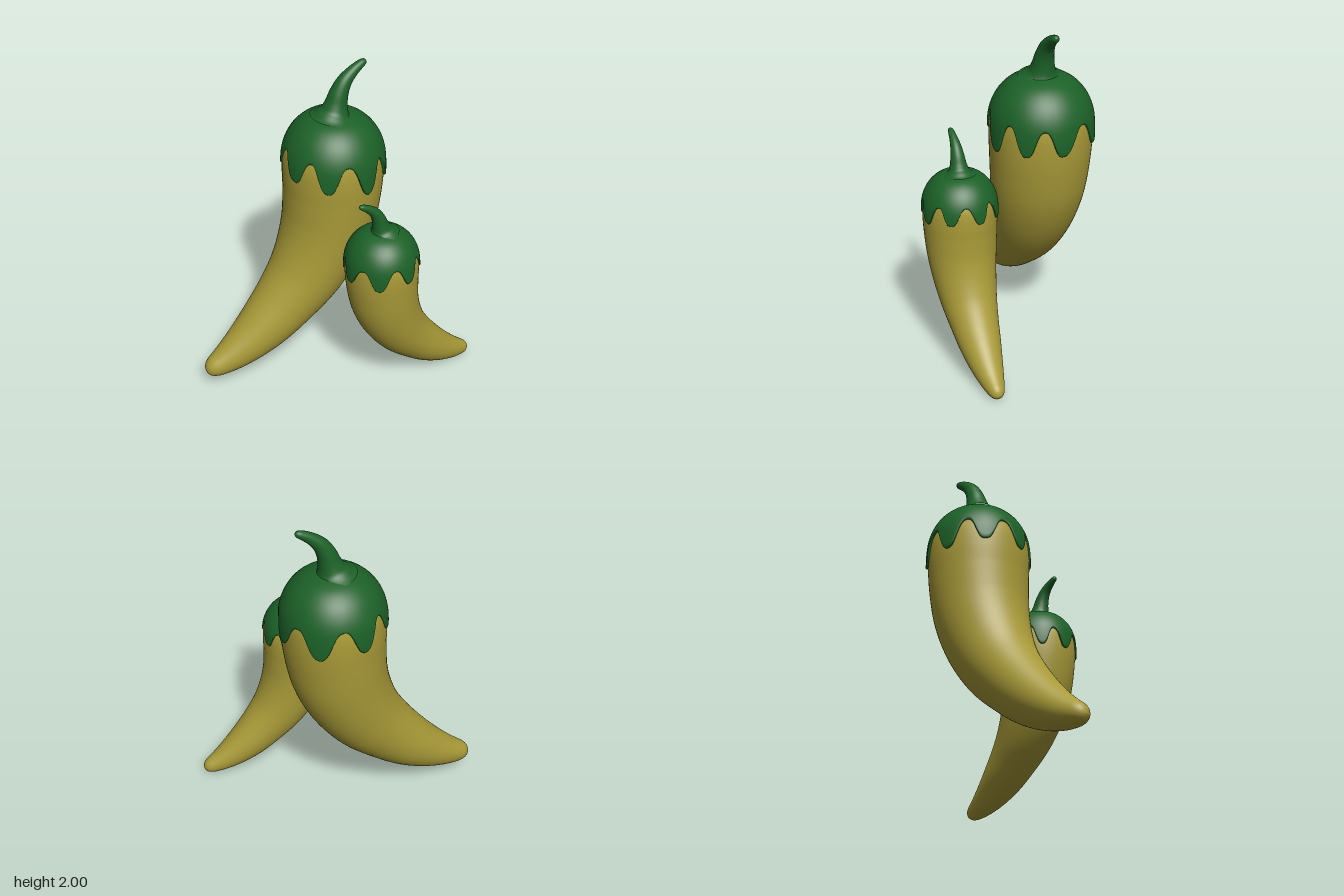
import * as THREE from 'three';

const YELLOW = new THREE.MeshStandardMaterial({ color: 0xa89a38 });
const GREEN = new THREE.MeshStandardMaterial({ color: 0x1c6128 });
const V = (x, y, z = 0) => new THREE.Vector3(x, y, z);

// Smooth closed-around surface: point(angle, row) gives each vertex, rows run downwards
function ringSurface(columns, rows, point) {
  const pos = [], index = [];
  for (let j = 0; j <= rows; j++) {
    for (let i = 0; i < columns; i++) pos.push(...point((i / columns) * Math.PI * 2, j));
  }
  for (let j = 0; j < rows; j++) {
    for (let i = 0; i < columns; i++) {
      const a = j * columns + i, b = j * columns + ((i + 1) % columns);
      index.push(a, b, a + columns, b, b + columns, a + columns);
    }
  }
  const geo = new THREE.BufferGeometry();
  geo.setAttribute('position', new THREE.Float32BufferAttribute(pos, 3));
  geo.setIndex(index);
  geo.computeVertexNormals();
  return geo;
}

// Round sweep along a spine in the xy plane; each spine point is [x, y, radius]
function taperedSweep(points, columns, rows) {
  const curve = new THREE.CatmullRomCurve3(points.map((p) => V(...p)), false, 'centripetal');
  const rings = [];
  for (let j = 0; j <= rows; j++) {
    const p = curve.getPointAt(j / rows);
    const d = curve.getTangentAt(j / rows);
    const len = Math.hypot(d.x, d.y) || 1;
    rings.push({ p, nx: -d.y / len, ny: d.x / len, r: Math.max(p.z, 0) });
  }
  return ringSurface(columns, rows, (a, j) => {
    const { p, nx, ny, r } = rings[j];
    const c = Math.cos(a) * r;
    return [p.x + nx * c, p.y + ny * c, Math.sin(a) * r];
  });
}

// Lobes hanging from the cap: [angle in degrees, height of the tip]
const LOBES = [
  [-2, 1.31], [37, 1.31], [78, 1.29], [126, 1.335],
  [166, 1.365], [212, 1.37], [254, 1.33], [304, 1.305], [358, 1.31],
];

function capEdge(angle) {
  let deg = (angle * 180) / Math.PI;
  if (deg >= 358) deg -= 360;
  const k = LOBES.findIndex((l, i) => i > 0 && deg < l[0]);
  const [a0, y0] = LOBES[k - 1], [a1, y1] = LOBES[k];
  const f = (deg - a0) / (a1 - a0);
  const w = (1 - Math.cos(f * Math.PI * 2)) / 2;
  const arch = THREE.MathUtils.lerp(w, w * w * (3 - 2 * w), 0.6);
  const notch = 1.49 - 0.025 * Math.cos(angle);
  return THREE.MathUtils.lerp(THREE.MathUtils.lerp(y0, y1, f), notch, arch);
}

// Domed cap with a wavy, rounded lip that folds under
function capGeometry(centreX) {
  const profile = new THREE.CatmullRomCurve3([
    V(0, 1.7), V(0.08, 1.695), V(0.17, 1.665), V(0.235, 1.612), V(0.277, 1.55),
    V(0.303, 1.48), V(0.314, 1.4), V(0.316, 1.3), V(0.314, 1.2),
  ]);
  const heightToT = (y) => {
    let lo = 0, hi = 1;
    for (let i = 0; i < 18; i++) {
      const mid = (lo + hi) / 2;
      if (profile.getPointAt(mid).y > y) lo = mid; else hi = mid;
    }
    return lo;
  };
  const lip = [[-0.004, -0.006], [-0.012, -0.009], [-0.022, -0.006], [-0.035, 0.004]];
  const columns = 192, main = 32;
  const edges = new Map();
  return ringSurface(columns, main + lip.length, (a, j) => {
    if (!edges.has(a)) edges.set(a, heightToT(capEdge(a)));
    const p = profile.getPointAt(edges.get(a) * Math.min(j / main, 1));
    const [dr, dy] = j > main ? lip[j - main - 1] : [0, 0];
    const r = p.x + dr;
    return [centreX + Math.cos(a) * r, p.y + dy, Math.sin(a) * r];
  });
}

function createPepper(name) {
  const pepper = new THREE.Group();
  pepper.name = name;
  const add = (part, geometry, material) => {
    const mesh = new THREE.Mesh(geometry, material);
    mesh.name = part;
    mesh.position.set(-0.105, -0.07, 0); // crown axis and lowest point to the origin
    pepper.add(mesh);
  };

  // Curved body, crown to tip
  add('body', taperedSweep([
    [0.105, 1.64, 0], [0.105, 1.61, 0.16], [0.105, 1.55, 0.255], [0.105, 1.5, 0.283],
    [0.105, 1.43, 0.299], [0.105, 1.33, 0.304], [0.1, 1.2, 0.299], [0.073, 1.0, 0.285],
    [0.008, 0.81, 0.262], [-0.095, 0.63, 0.232], [-0.235, 0.47, 0.198], [-0.37, 0.345, 0.17],
    [-0.5, 0.25, 0.138], [-0.62, 0.182, 0.105], [-0.7, 0.148, 0.081], [-0.75, 0.132, 0.064],
    [-0.78, 0.124, 0.045], [-0.794, 0.121, 0.026], [-0.8, 0.12, 0],
  ], 64, 110), YELLOW);

  add('cap', capGeometry(0.108), GREEN);

  // Bent stem, tip to flared base
  add('stem', taperedSweep([
    [0.326, 1.984, 0], [0.322, 1.983, 0.012], [0.311, 1.98, 0.02], [0.285, 1.968, 0.026],
    [0.235, 1.936, 0.034], [0.182, 1.885, 0.045], [0.147, 1.82, 0.056], [0.128, 1.755, 0.068],
    [0.118, 1.715, 0.083], [0.113, 1.695, 0.105], [0.11, 1.675, 0.14],
  ], 40, 50), GREEN);
  return pepper;
}

export function createModel() {
  const model = new THREE.Group();
  model.name = 'peppers';

  const large = createPepper('largePepper');
  large.position.set(0.105, 0.07, -0.21);

  // Smaller copy turned to face the other way
  const small = createPepper('smallPepper');
  small.scale.setScalar(0.72);
  small.rotation.y = Math.PI;
  small.position.set(0.14, 0, 0.305);

  model.add(large, small);
  return model;
}
